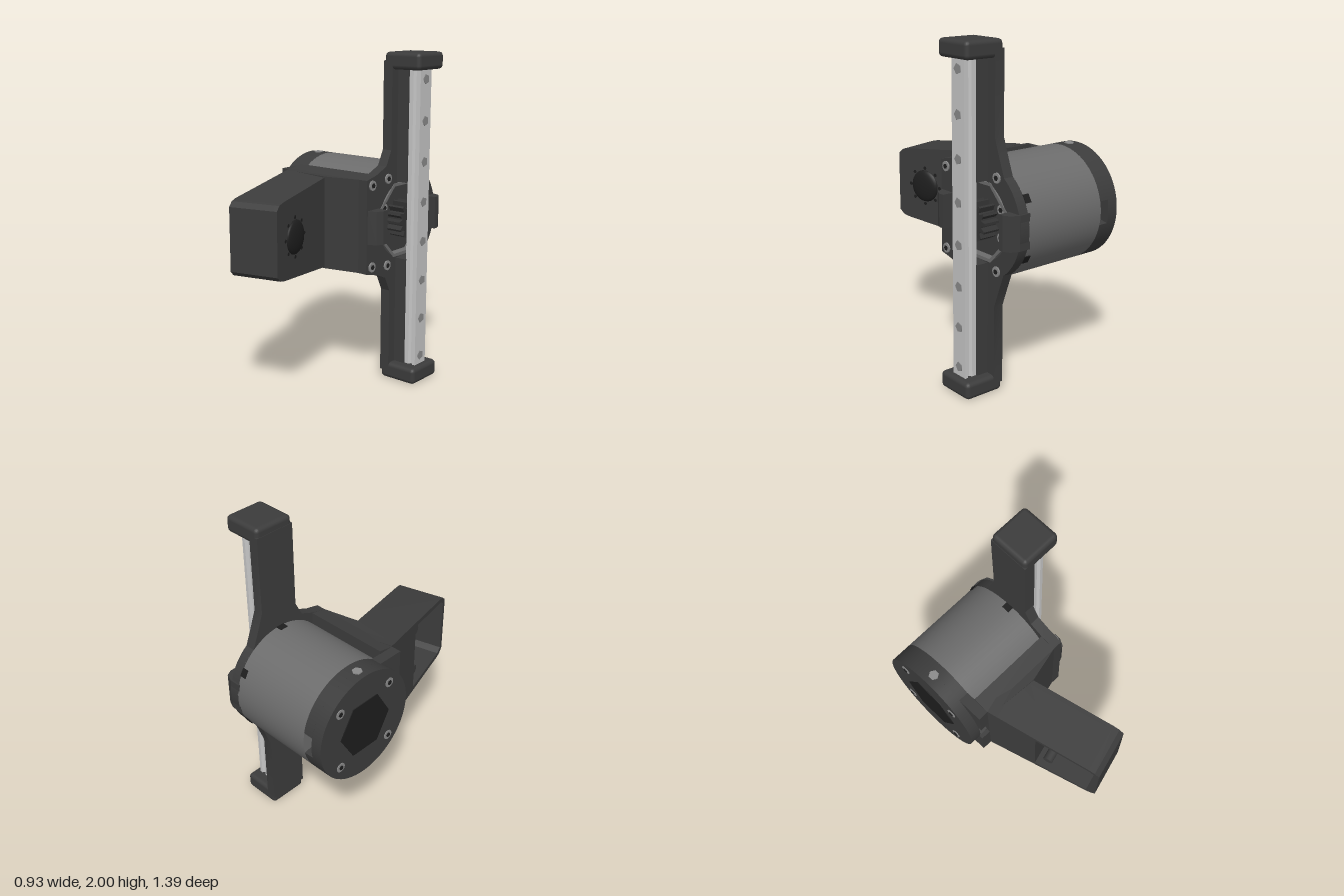
import * as THREE from 'three';
import { toCreasedNormals } from 'three/addons/utils/BufferGeometryUtils.js';
import { RoundedBoxGeometry } from 'three/addons/geometries/RoundedBoxGeometry.js';

const CY = 1, CZ = -0.355, R = 0.34; // motor axis and radius
const mat = (name, color) => {
  const m = new THREE.MeshStandardMaterial({ color });
  m.name = name;
  return m;
};

export function createModel() {
  const dark = mat('dark plastic', 0x3c3c3c);
  const grey = mat('grey housing', 0x6c6c6c);
  const light = mat('light rail', 0xc6c6c6);
  const steel = mat('steel', 0x8a8a8a);
  const black = mat('black', 0x1e1e1e);
  const gearMat = mat('gear', 0x333333);
  const model = new THREE.Group();

  const add = (name, geo, m, parent = model) => {
    const mesh = new THREE.Mesh(geo, m);
    mesh.name = name;
    parent.add(mesh);
    return mesh;
  };
  const shapeOf = (pts) => new THREE.Shape(pts.map(([a, b]) => new THREE.Vector2(a, b)));
  // Extrudes a side profile drawn in (-z, y) from x0 to x1
  const slab = (name, shape, x0, x1, m, parent) => {
    const g = new THREE.ExtrudeGeometry(shape, { depth: x1 - x0, bevelEnabled: false, curveSegments: 32 });
    g.rotateY(Math.PI / 2).translate(x0, 0, 0);
    return add(name, toCreasedNormals(g, 0.4), m, parent);
  };
  // Extrudes a plan profile drawn in (x, -z) from y0 to y1
  const prism = (name, pts, y0, y1, m) => {
    const g = new THREE.ExtrudeGeometry(shapeOf(pts), { depth: y1 - y0, bevelEnabled: false });
    g.rotateX(-Math.PI / 2).translate(0, y0, 0);
    return add(name, g, m);
  };
  // Cylinder lying along x
  const rod = (name, r, x0, x1, y, z, m, sides = 48, parent = model) => {
    const g = new THREE.CylinderGeometry(r, r, x1 - x0, sides);
    g.rotateZ(-Math.PI / 2);
    const mesh = add(name, g, m, parent);
    mesh.position.set((x0 + x1) / 2, y, z);
    return mesh;
  };
  const bolt = (y, z, x, dir) => {
    rod('bolt', 0.03, x - 0.006, x + 0.006, y, z, steel, 12);
    rod('boltSocket', 0.015, x + dir * 0.007 - 0.003, x + dir * 0.007 + 0.003, y, z, black, 6);
  };

  // Motor housing and rear cap, with a cable slot on both sides
  rod('motorHousing', R, -0.33, 0.212, CY, CZ, grey, 64);
  rod('rearCap', R, -0.46, -0.39, CY, CZ, dark, 64);
  const a = 0.207;
  for (const start of [a, Math.PI + a]) {
    const ring = new THREE.Shape();
    ring.absarc(-CZ, CY, R, start, start + Math.PI - 2 * a, false);
    ring.absarc(-CZ, CY, 0.27, start + Math.PI - 2 * a, start, true);
    slab('rearCapRim', ring, -0.392, -0.329, dark);
  }
  rod('rearCover', 0.19, -0.465, -0.459, CY, CZ, black, 6);
  for (let i = 0; i < 4; i++) {
    const t = Math.PI / 4 + i * Math.PI / 2;
    bolt(CY + 0.27 * Math.sin(t), CZ + 0.27 * Math.cos(t), -0.458, -1);
  }
  for (const s of [-1, 1]) {
    const nut = add('rimNut', new THREE.CylinderGeometry(0.03, 0.03, 0.012, 6), steel);
    nut.position.set(-0.4, CY + s * R * 0.996, CZ);
  }
  // Small vents around the front edge of the housing
  for (let i = 0; i < 6; i++) {
    const t = i * Math.PI / 3;
    const vent = add('vent', new THREE.BoxGeometry(0.04, 0.008, 0.05), black);
    vent.position.set(0.19, CY + R * Math.cos(t), CZ + R * Math.sin(t));
    vent.rotation.x = t;
  }

  // Face plate with the long vertical bar
  const plate = shapeOf([[0, 0.72], [0.09, 0.70], [0.185, 0.66], [0.23, 0.57],
    [0.23, 0.05], [0.48, 0.05], [0.48, 0.52], [0.52, 0.63]]);
  plate.absarc(-CZ, CY, R, -0.936, 0.936, false);
  [[0.52, 1.37], [0.48, 1.48], [0.48, 1.95], [0.23, 1.95], [0.23, 1.43],
    [0.185, 1.34], [0.09, 1.30], [0, 1.28]].forEach(([u, v]) => plate.lineTo(u, v));
  const opening = new THREE.Path();
  opening.absarc(-CZ, CY, 0.235, 0, Math.PI * 2, true);
  plate.holes.push(opening);
  slab('facePlate', plate, 0.208, 0.27, dark);
  for (const [y, z] of [[0.245, -0.05], [0.265, -0.2], [0.265, -0.5]])
    for (const s of [-1, 1]) bolt(CY + s * y, z, 0.272, 1);

  // Recessed motor front, octagonal trim ring and gear
  rod('motorFront', 0.234, 0.2, 0.225, CY, CZ, dark, 48);
  const trim = new THREE.Shape();
  const trimHole = new THREE.Path();
  for (let i = 0; i < 8; i++) {
    const t = (i + 0.5) * Math.PI / 4;
    const [c, s] = [Math.cos(t), Math.sin(t)];
    trim[i ? 'lineTo' : 'moveTo'](-CZ + 0.245 * c, CY + 0.245 * s);
    trimHole[i ? 'lineTo' : 'moveTo'](-CZ + 0.225 * c, CY + 0.225 * s);
  }
  trim.holes.push(trimHole);
  slab('trimRing', trim, 0.22, 0.274, grey);
  for (const y of [-0.08, 0.08])
    for (const z of [-0.21, -0.497]) bolt(CY + y, z, 0.235, 1);
  const teeth = [];
  for (let i = 0; i < 56; i++) {
    const t = i * Math.PI / 28;
    const r = i % 4 < 2 ? 0.115 : 0.085;
    teeth.push([-CZ + r * Math.cos(t), CY + r * Math.sin(t)]);
  }
  slab('gear', shapeOf(teeth), 0.22, 0.33, gearMat);

  // Side guide tabs
  prism('guideTab', [[0.2, 0.69], [0.2, 0.6], [0.34, 0.6], [0.34, 0.63], [0.32, 0.67], [0.27, 0.69]], 0.9, 1.1, dark);
  prism('guideTab', [[0.2, 0], [0.27, 0.01], [0.32, 0.03], [0.34, 0.07], [0.34, 0.11], [0.2, 0.11]], 0.9, 1.1, dark);

  // Bar end blocks, rail supports and rail
  for (const s of [-1, 1]) {
    const end = add('barEnd', new RoundedBoxGeometry(0.25, 0.1, 0.25, 2, 0.025), dark);
    end.position.set(0.335, CY + s * 0.95, CZ);
    const support = add('railSupport', new THREE.BoxGeometry(0.08, 0.68, 0.13), dark);
    support.position.set(0.302, CY + s * 0.575, CZ);
  }
  const w = 0.054;
  prism('rail', [[0.34, -CZ - w], [0.37, -CZ - w], [0.38, -CZ - w + 0.016], [0.39, -CZ - w + 0.016], [0.4, -CZ - w],
    [0.42, -CZ - w], [0.42, -CZ + w], [0.4, -CZ + w], [0.39, -CZ + w - 0.016], [0.38, -CZ + w - 0.016],
    [0.37, -CZ + w], [0.34, -CZ + w]], 0.09, 1.91, light);
  for (let i = 0; i < 8; i++)
    rod('railScrew', 0.03, 0.417, 0.424, 0.155 + i * 0.2415, CZ, steel, 5);

  // Saddle joining the motor to the arm
  slab('saddle', shapeOf([[0, 0.72], [0.1, 0.70], [0.1, 1.30], [0, 1.28]]), -0.33, 0.21, dark);
  prism('saddleWedge', [[-0.33, 0.01], [-0.29, -0.03], [-0.01, -0.05], [0.21, 0]], 0.72, 1.28, dark);
  for (const s of [-1, 1]) {
    const tab = add('saddleTab', new THREE.BoxGeometry(0.065, 0.2, 0.17), dark);
    tab.position.set(-0.36, CY + s * 0.18, -0.085);
  }

  // Hollow tapered arm, open on its right side
  const arm = new THREE.Group();
  arm.name = 'arm';
  arm.position.set(-0.33, CY, 0);
  arm.rotation.y = 0.26;
  model.add(arm);
  const outline = [[0, -0.285], [0, 0.285], [-0.65, 0.222], [-0.69, 0.212], [-0.719, 0.185],
    [-0.719, -0.185], [-0.69, -0.212], [-0.65, -0.222]];
  const shell = shapeOf(outline);
  shell.holes.push(new THREE.Path([[-0.31, -0.225], [-0.31, 0.225], [-0.66, 0.195], [-0.695, 0.17],
    [-0.695, -0.17], [-0.66, -0.195]].map(([u, v]) => new THREE.Vector2(u, v))));
  slab('armShell', shell, 0, 0.27, dark, arm);
  slab('armPanel', shapeOf(outline), 0.27, 0.297, dark, arm);
  for (const y of [-0.15, 0.15]) rod('armPost', 0.03, 0.03, 0.27, y, 0.38, dark, 16, arm);

  // Domed round button with a ring of small marks
  const dome = add('button', new THREE.SphereGeometry(0.1, 32, 8, 0, Math.PI * 2, 0, Math.PI / 2), black, arm);
  dome.rotation.z = -Math.PI / 2;
  dome.scale.y = 0.28;
  dome.position.set(0.297, 0, 0.51);
  for (let i = 0; i < 8; i++) {
    const t = i * Math.PI / 4;
    rod('buttonMark', 0.011, 0.295, 0.299, 0.114 * Math.sin(t), 0.51 + 0.114 * Math.cos(t), black, 8, arm);
  }
  return model;
}
